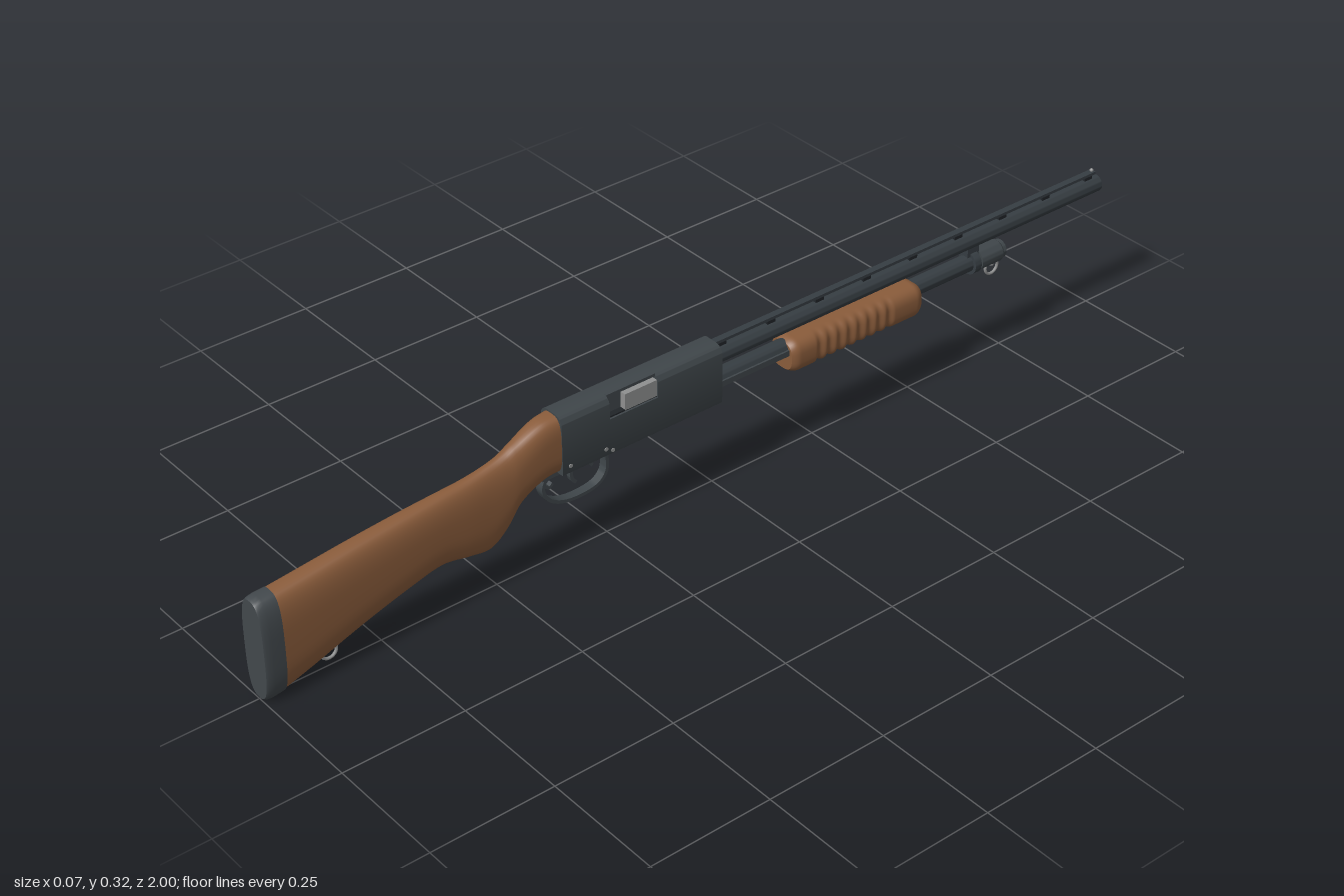
import * as THREE from 'three';
import { toCreasedNormals } from 'three/addons/utils/BufferGeometryUtils.js';

const mat = (name, color) => new THREE.MeshStandardMaterial({ name, color });

// Skin over rounded sections [z, yBottom, yTop, halfWidth, roundness], z ascending, capped at both ends
function loft(stations, seg = 40) {
  const pos = [], idx = [];
  const ring = ([z, y0, y1, w, n]) => {
    for (let j = 0; j < seg; j++) {
      const a = (j / seg) * Math.PI * 2, c = Math.cos(a), s = Math.sin(a), e = 2 / n;
      pos.push(w * Math.sign(c) * Math.abs(c) ** e,
        (y0 + y1) / 2 + ((y1 - y0) / 2) * Math.sign(s) * Math.abs(s) ** e, z);
    }
  };
  stations.forEach(ring);
  for (let i = 0; i < stations.length - 1; i++) {
    for (let j = 0; j < seg; j++) {
      const a = i * seg + j, b = i * seg + (j + 1) % seg;
      idx.push(a, b, a + seg, b, b + seg, a + seg);
    }
  }
  for (const end of [0, 1]) {
    const st = stations[end ? stations.length - 1 : 0], base = pos.length / 3;
    ring(st);
    pos.push(0, (st[1] + st[2]) / 2, st[0]);
    for (let j = 0; j < seg; j++) {
      const a = base + j, b = base + (j + 1) % seg;
      idx.push(base + seg, end ? a : b, end ? b : a);
    }
  }
  const g = new THREE.BufferGeometry();
  g.setAttribute('position', new THREE.Float32BufferAttribute(pos, 3));
  g.setIndex(idx);
  g.computeVertexNormals();
  return g;
}

// Smooth in-between stations, interpolated through sparse ones
function refine(stations, steps) {
  const col = k => new THREE.CatmullRomCurve3(stations.map(s => new THREE.Vector3(s[0], s[k], 0)));
  const curves = [1, 2, 3, 4].map(col);
  return Array.from({ length: steps + 1 }, (_, i) => {
    const p = curves.map(c => c.getPoint(i / steps));
    return [p[0].x, ...p.map(v => v.y)];
  });
}

// Turned part along -z; profile points are [radius, distance]
function turned(profile, y, z) {
  const g = new THREE.LatheGeometry(profile.map(p => new THREE.Vector2(...p)), 32);
  return toCreasedNormals(g.rotateX(-Math.PI / 2).translate(0, y, z), 0.6);
}

// Flat strip bent along a curve of [z, y] points
function strip(points, thickness, width) {
  const curve = new THREE.SplineCurve(points.map(p => new THREE.Vector2(...p)));
  const side = s => Array.from({ length: 33 }, (_, i) => {
    const p = curve.getPoint(i / 32), t = curve.getTangent(i / 32);
    return new THREE.Vector2(p.x - s * t.y * thickness / 2, p.y + s * t.x * thickness / 2);
  });
  const shape = new THREE.Shape([...side(1), ...side(-1).reverse()]);
  const g = new THREE.ExtrudeGeometry(shape, { depth: width, bevelEnabled: false });
  return toCreasedNormals(g.rotateY(-Math.PI / 2).translate(width / 2, 0, 0), 0.6);
}

// Receiver slice between two z values, optionally notched on the left for the ejection port
function receiverSlice(z0, z1, notch) {
  const w = 0.03, b = 0.192, t = 0.315, r = 0.018, q = 0.004, s = new THREE.Shape();
  s.moveTo(-w + q, b);
  s.lineTo(w - q, b);
  s.quadraticCurveTo(w, b, w, b + q);
  if (notch) {
    s.lineTo(w, 0.268);
    s.lineTo(0.014, 0.268);
    s.lineTo(0.014, t - 0.0005);
    s.lineTo(0.012, t);
  } else {
    s.lineTo(w, t - r);
    s.absarc(w - r, t - r, r, 0, Math.PI / 2);
  }
  s.lineTo(-w + r, t);
  s.absarc(-w + r, t - r, r, Math.PI / 2, Math.PI);
  s.lineTo(-w, b + q);
  s.quadraticCurveTo(-w, b, -w + q, b);
  const g = new THREE.ExtrudeGeometry(s, { depth: z1 - z0, bevelEnabled: false, curveSegments: 10 });
  return toCreasedNormals(g.translate(0, 0, z0), 0.6);
}

export function createModel() {
  const wood = mat('walnut wood', 0x8a5c3b);
  const steel = mat('blued steel', 0x3f464a);
  const dark = mat('dark barrel steel', 0x363d42);
  const rubber = mat('rubber', 0x42484c);
  const bright = mat('bright steel', 0x8f9090);
  const black = mat('black', 0x202428);

  const model = new THREE.Group();
  const add = (name, geometry, material) => {
    const m = new THREE.Mesh(geometry, material);
    m.name = name;
    model.add(m);
    return m;
  };
  const box = (name, material, w, h, d, x, y, z) =>
    add(name, new THREE.BoxGeometry(w, h, d).translate(x, y, z), material);

  // Shoulder stock and butt pad
  add('stock', loft(refine([
    [0.36, 0.195, 0.313, 0.029, 3.4], [0.40, 0.188, 0.308, 0.028, 3],
    [0.45, 0.157, 0.286, 0.026, 2.5], [0.48, 0.115, 0.272, 0.025, 2.4],
    [0.515, 0.089, 0.262, 0.025, 2.4], [0.56, 0.094, 0.254, 0.026, 2.5],
    [0.62, 0.105, 0.249, 0.027, 2.6], [0.70, 0.089, 0.242, 0.029, 2.8],
    [0.80, 0.060, 0.232, 0.031, 2.9], [0.90, 0.026, 0.220, 0.033, 3],
    [0.962, 0.006, 0.213, 0.034, 3],
  ], 60)), wood);
  add('buttPad', loft([
    [0.96, 0.004, 0.214, 0.0345, 3], [0.985, 0, 0.213, 0.0345, 3],
    [0.996, 0.001, 0.211, 0.033, 3], [1, 0.004, 0.208, 0.031, 3],
  ]), rubber);

  // Receiver with ejection port, bolt and loading port
  add('receiverFront', receiverSlice(0, 0.15, false), steel);
  add('receiverMiddle', receiverSlice(0.15, 0.26, true), steel);
  add('receiverRear', receiverSlice(0.26, 0.367, false), steel);
  box('portFloor', black, 0.012, 0.003, 0.11, 0.02, 0.2695, 0.205);
  box('bolt', bright, 0.013, 0.034, 0.073, 0.0205, 0.287, 0.1865);
  box('portTopStrip', steel, 0.008, 0.006, 0.11, 0.017, 0.312, 0.205);
  box('loadingPort', black, 0.034, 0.002, 0.15, 0, 0.1915, 0.12);
  for (const [y, z] of [[0.208, 0.35], [0.208, 0.27], [0.2, 0.255]]) {
    add('pin', new THREE.CylinderGeometry(0.004, 0.004, 0.063, 12).rotateZ(Math.PI / 2).translate(0, y, z), bright);
  }

  // Trigger group
  box('triggerPlate', steel, 0.026, 0.01, 0.15, 0, 0.19, 0.325);
  add('triggerGuard', strip([[0.385, 0.19], [0.396, 0.165], [0.385, 0.138], [0.355, 0.12],
    [0.315, 0.115], [0.275, 0.121], [0.255, 0.14], [0.252, 0.165], [0.256, 0.19]], 0.007, 0.018), steel);
  add('trigger', strip([[0.325, 0.188], [0.33, 0.17], [0.328, 0.155], [0.32, 0.145]], 0.007, 0.01), steel);
  add('slideRelease', strip([[0.285, 0.188], [0.288, 0.175], [0.282, 0.165]], 0.007, 0.008), steel);
  add('guardSpur', strip([[0.392, 0.168], [0.38, 0.16], [0.372, 0.166]], 0.006, 0.01), steel);

  // Barrel with bore, raised rib and bead
  add('barrel', turned([[0, 0], [0.018, 0], [0.018, 1.002], [0.0135, 1.002], [0.0135, 0.9], [0, 0.9]], 0.28, 0.002), dark);
  box('rib', dark, 0.014, 0.006, 0.99, 0, 0.308, -0.495);
  for (let i = 0; i < 9; i++) {
    box('ribPost', black, 0.011, 0.012, 0.02, 0, 0.301, -0.02 - i * 0.119);
  }
  add('sightBead', new THREE.SphereGeometry(0.004, 12, 8).translate(0, 0.313, -0.985), bright);

  // Magazine tube, cap, barrel clamp and action bars
  add('magazineTube', turned([[0, 0], [0.018, 0], [0.018, 0.69], [0, 0.69]], 0.228, 0), dark);
  add('magazineCap', turned([[0, 0], [0.023, 0], [0.023, 0.055], [0.019, 0.06], [0.019, 0.068],
    [0.011, 0.071], [0, 0.071]], 0.228, -0.669), steel);
  add('clampRing', turned([[0, 0], [0.0245, 0], [0.0245, 0.016], [0, 0.016]], 0.228, -0.648), dark);
  box('clampBridge', dark, 0.016, 0.03, 0.03, 0, 0.253, -0.655);
  for (const s of [-1, 1]) {
    box('actionBar', steel, 0.004, 0.012, 0.19, s * 0.02, 0.226, -0.09);
  }

  // Ribbed pump handle
  const grip = [];
  for (let i = 0; i <= 132; i++) {
    const z = -0.5 + i * 0.0025, fromEnd = Math.min(i, 132 - i) * 0.0025;
    const inset = 0.007 * Math.max(0, 1 - fromEnd / 0.018) ** 2;
    const t = (z + 0.425) / 0.2;
    const groove = t > 0 && t < 1 ? 0.0045 * Math.sin(t * 8 * Math.PI) ** 2 : 0;
    grip.push([z, 0.178 + inset + groove, 0.25 - inset, 0.036 - inset - groove, 2.8]);
  }
  add('pumpHandle', loft(grip), wood);

  // Sling swivels
  for (const [y, z] of [[0.194, -0.715], [0.031, 0.857]]) {
    add('slingRing', new THREE.TorusGeometry(0.016, 0.003, 8, 24).rotateY(Math.PI / 2).translate(0, y, z), bright);
    add('slingStud', new THREE.CylinderGeometry(0.005, 0.005, 0.02, 12).translate(0, y + 0.014, z), bright);
  }
  return model;
}
